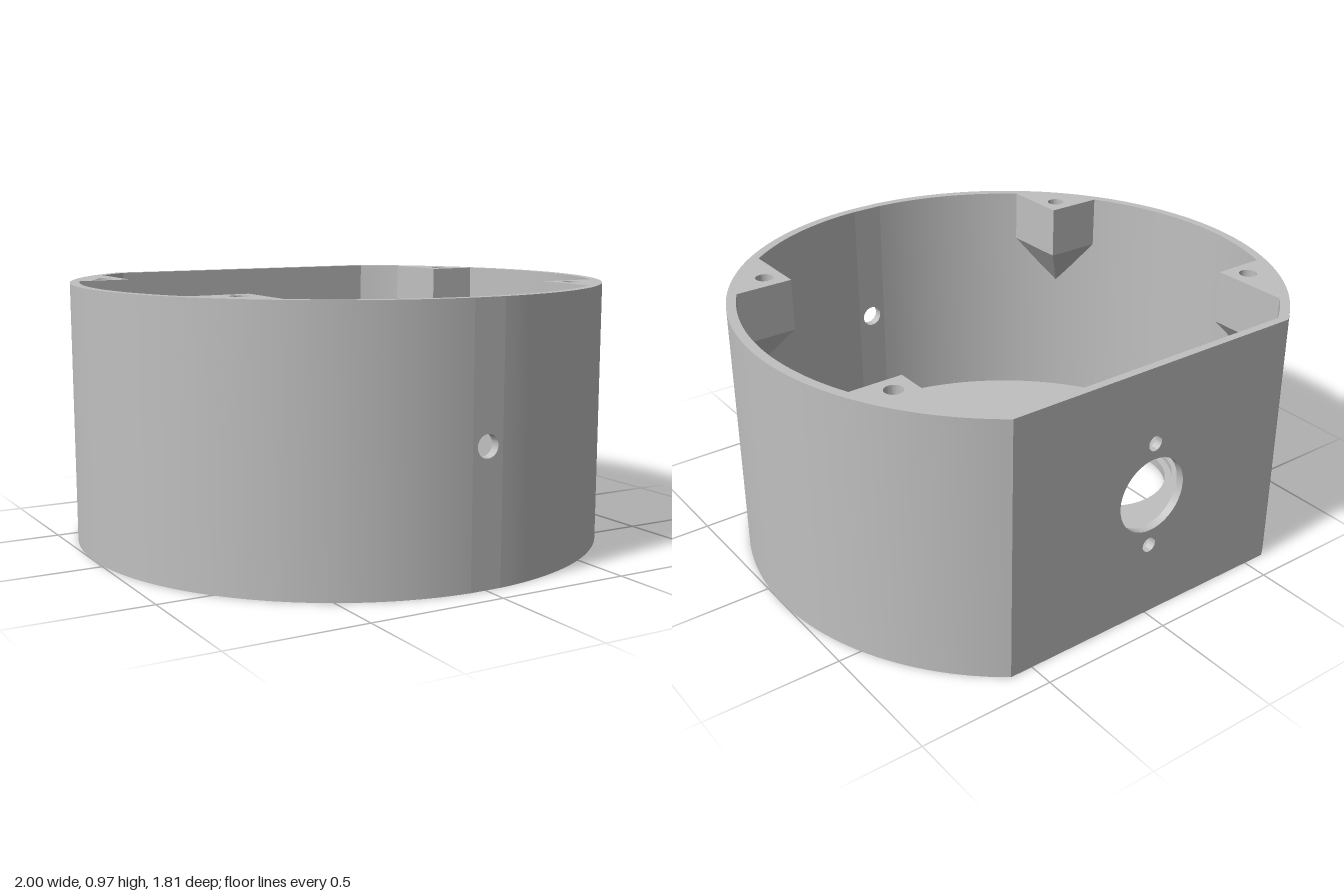
import * as THREE from 'three';
import { toCreasedNormals } from 'three/addons/utils/BufferGeometryUtils.js';
import { ConvexGeometry } from 'three/addons/geometries/ConvexGeometry.js';

const R = 1, RI = 0.965, H = 0.97;            // outer and inner radius, height
const BACK = -0.81, BACK_IN = -0.78;          // flat back, outside and inside
const FLOOR = 0.075;
const POST_DEPTH = 0.2, POST_TIP = 0.58;

// Points on a circle in plan; angle 0 faces the front (+z)
function arc(r, a0, a1, n, cx = 0, cz = 0) {
  return Array.from({ length: n + 1 }, (_, i) => {
    const a = a0 + ((a1 - a0) * i) / n;
    return [cx + r * Math.sin(a), cz + r * Math.cos(a)];
  });
}
const circle = (r, cx, cz, n = 64) => arc(r, 0, Math.PI * 2, n, cx, cz).slice(0, n);
const rect = (x0, x1, z0, z1) => [[x0, z0], [x1, z0], [x1, z1], [x0, z1]];
const flip = (pts, s) => pts.map(([x, z]) => [s * x, z]);

// Upright slab from a plan outline with holes
function slab(outline, holes, y0, y1) {
  const v = (pts) => pts.map(([x, z]) => new THREE.Vector2(x, -z));
  const shape = new THREE.Shape(v(outline));
  shape.holes = holes.map((h) => new THREE.Path(v(h)));
  const g = new THREE.ExtrudeGeometry(shape, { depth: y1 - y0, bevelEnabled: false });
  g.rotateX(-Math.PI / 2).translate(0, y0, 0);
  return toCreasedNormals(g, 0.5);
}

// Standing plate with round holes, each given as [x, y, radius]
function plate(halfWidth, holes, thickness, z) {
  const shape = new THREE.Shape(rect(-halfWidth, halfWidth, 0, H).map((p) => new THREE.Vector2(...p)));
  for (const [x, y, r] of holes) {
    shape.holes.push(new THREE.Path(circle(r, x, y, 40).map((p) => new THREE.Vector2(...p))));
  }
  const g = new THREE.ExtrudeGeometry(shape, { depth: thickness, bevelEnabled: false });
  g.translate(0, 0, z);
  return toCreasedNormals(g, 0.5);
}

export function createModel() {
  const model = new THREE.Group();
  model.name = 'housing';
  const body = new THREE.Group();
  body.name = 'body';
  body.position.z = -0.095;
  model.add(body);
  const grey = new THREE.MeshStandardMaterial({ color: 0xc0c0c0 });
  grey.name = 'grey plastic';
  const add = (name, geometry) => {
    const m = new THREE.Mesh(geometry, grey);
    m.name = name;
    body.add(m);
    return m;
  };

  // Curved side walls, from the small front panel round to the flat back
  const cornerX = Math.sqrt(R * R - BACK * BACK);
  const innerX = Math.sqrt(RI * RI - BACK_IN * BACK_IN);
  const aOut = Math.atan2(cornerX, BACK), aIn = Math.atan2(innerX, BACK_IN);
  const panel = 0.06;
  const side = [
    ...arc(R, Math.asin(panel / R), aOut, 64),
    [innerX, BACK],
    ...arc(RI, aIn, Math.asin(panel / RI), 64),
  ];
  add('leftWall', slab(side, [], 0, H));
  add('rightWall', slab(flip(side, -1), [], 0, H));

  // Front panel with cable hole
  const zOut = Math.sqrt(R * R - panel * panel), zIn = Math.sqrt(RI * RI - panel * panel);
  add('frontPanel', plate(panel, [[0, 0.485, 0.041]], zOut - zIn, zIn));

  // Flat back with a round opening and two screw holes
  add('backWall', plate(innerX, [[0, 0.485, 0.14], [0, 0.685, 0.028], [0, 0.285, 0.028]],
    BACK_IN - BACK, BACK));

  // Floor in three layers: lower recesses, web with openings, upper recesses
  const floor = arc(RI, -aIn, aIn, 128);
  const eyeX = 0.43, eyeZ = -0.075;
  const pair = (pts) => [pts, flip(pts, -1)];
  const grille = { x: 0.575, z0: -0.685, z1: -0.49 };
  add('floorUnderside', slab(floor,
    [...pair(circle(0.357, eyeX, eyeZ)), rect(-grille.x, grille.x, grille.z0, grille.z1)], 0, 0.02));
  add('floorWeb', slab(floor, pair(circle(0.253, eyeX, eyeZ)), 0.02, 0.055));
  const keyhole = [
    [0.115, eyeZ + 0.14],
    ...arc(0.28, -Math.PI / 3, Math.PI * 4 / 3, 56, eyeX, eyeZ),
    [0.115, eyeZ - 0.14],
  ];
  add('floorTop', slab(floor, pair(keyhole), 0.055, FLOOR));

  // Grille bars set in the underside recess
  for (let i = 0; i < 4; i++) {
    const z = grille.z0 + 0.0375 + i * 0.04;
    add('grilleBar', slab(rect(-0.52, 0.52, z - 0.01, z + 0.01), [], 0.004, 0.02));
  }

  // Low central strip running in from the back wall
  add('centreStrip', slab(rect(-0.115, 0.115, BACK_IN, -0.105), [], FLOOR, FLOOR + 0.02));

  for (const s of [1, -1]) {
    // Screw bosses on the floor
    for (const [x, z] of [[0.68, -0.345], [0.185, 0.195]]) {
      add('screwBoss', slab(circle(0.06, s * x, z, 32), [circle(0.035, s * x, z, 24)], FLOOR, 0.17));
    }
    // Lid posts on the wall, each tapering down to a tip
    const posts = [
      { name: 'backPost', c: [0.695, -0.375], hole: [0.77, -0.445], tip: [0.833, -0.5] },
      { name: 'frontPost', c: [0.61, 0.495], hole: [0.68, 0.57], tip: [0.74, 0.63] },
    ];
    for (const { name, c, hole, tip } of posts) {
      const ax = Math.sqrt(RI * RI - c[1] * c[1]);
      const bz = Math.sign(c[1]) * Math.sqrt(RI * RI - c[0] * c[0]);
      const rim = arc(RI, Math.atan2(ax, c[1]), Math.atan2(c[0], bz), 12);
      const outline = flip([c, ...rim], s);
      add(name, slab(outline, [circle(0.033, s * hole[0], hole[1], 24)], H - POST_DEPTH, H));
      const points = outline.map(([x, z]) => new THREE.Vector3(x, H - POST_DEPTH, z));
      points.push(new THREE.Vector3(s * tip[0], POST_TIP, tip[1]));
      add(name + 'Taper', new ConvexGeometry(points));
    }
  }
  return model;
}
